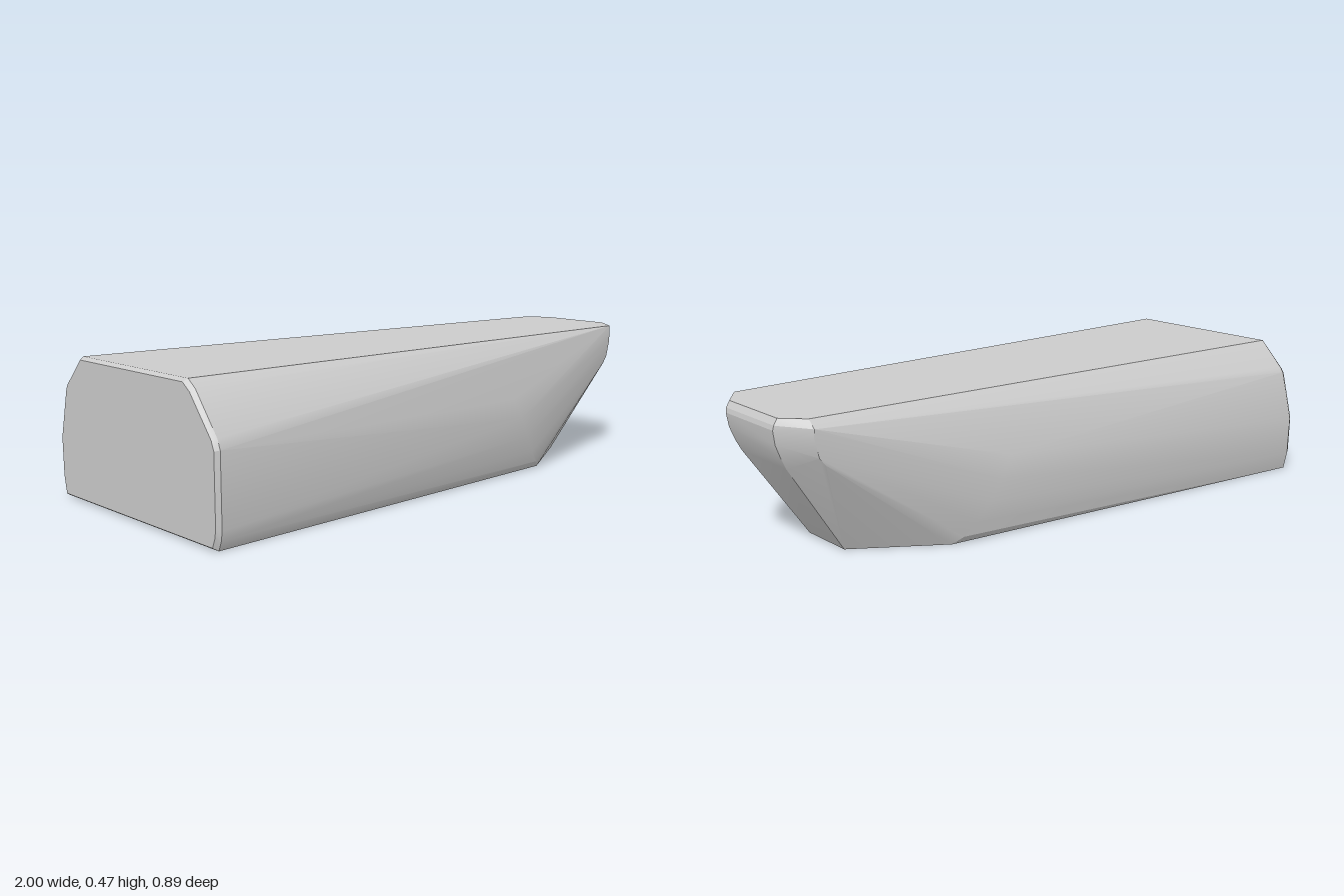
import * as THREE from 'three';
import { ConvexGeometry } from 'three/addons/geometries/ConvexGeometry.js';
import { toCreasedNormals } from 'three/addons/utils/BufferGeometryUtils.js';

export function createModel() {
  const group = new THREE.Group();
  const points = [];
  const add = (x, y, z) => points.push(new THREE.Vector3(x, y, z));
  const mirror = (x, y, z) => { add(x, y, z); add(x, y, -z); };

  // Blunt end: [y, z] outline, slightly bevelled at the end face
  const endOutline = [
    [0.465, 0.295], [0.44, 0.33], [0.315, 0.433], [0.285, 0.445], [0.06, 0.445], [0.03, 0.44], [0, 0.427],
    [0, -0.427], [0.06, -0.44], [0.19, -0.443], [0.36, -0.4], [0.375, -0.39], [0.465, -0.3],
  ];
  for (const [y, z] of endOutline) {
    add(-0.985, y, z);
    add(-1, 0.23 + (y - 0.23) * 0.96, z * 0.98);
  }

  // Bulged shoulders where the sides start to taper faster
  for (const [x, y, z] of [
    [0.28, 0.27, 0.344], [0.32, 0.2, 0.345], [0.36, 0.13, 0.336],
    [0.4, 0.07, 0.322], [0.44, 0.025, 0.305], [0.47, 0, 0.28],
  ]) mirror(x, y, z);

  // Outer edge of the tip, with a narrow chamfer along one side
  add(0.92, 0.465, 0.23);
  add(0.92, 0.465, -0.205);
  add(0.92, 0.44, -0.233);
  for (const [x, y, z] of [[0.92, 0.41, 0.23], [0.905, 0.35, 0.23], [0.885, 0.325, 0.231]]) mirror(x, y, z);

  // Rounded nose running down to the flat underside
  for (const [x, y, z] of [
    [0.985, 0.465, 0.14], [0.997, 0.445, 0.14], [1, 0.43, 0.138], [0.993, 0.385, 0.136],
    [0.975, 0.34, 0.134], [0.957, 0.305, 0.13], [0.75, 0, 0.1],
  ]) mirror(x, y, z);

  const body = new THREE.Mesh(
    toCreasedNormals(new ConvexGeometry(points), 0.32),
    new THREE.MeshStandardMaterial({ color: 0xcccccc }),
  );
  body.name = 'taperedBody';
  group.add(body);
  return group;
}
